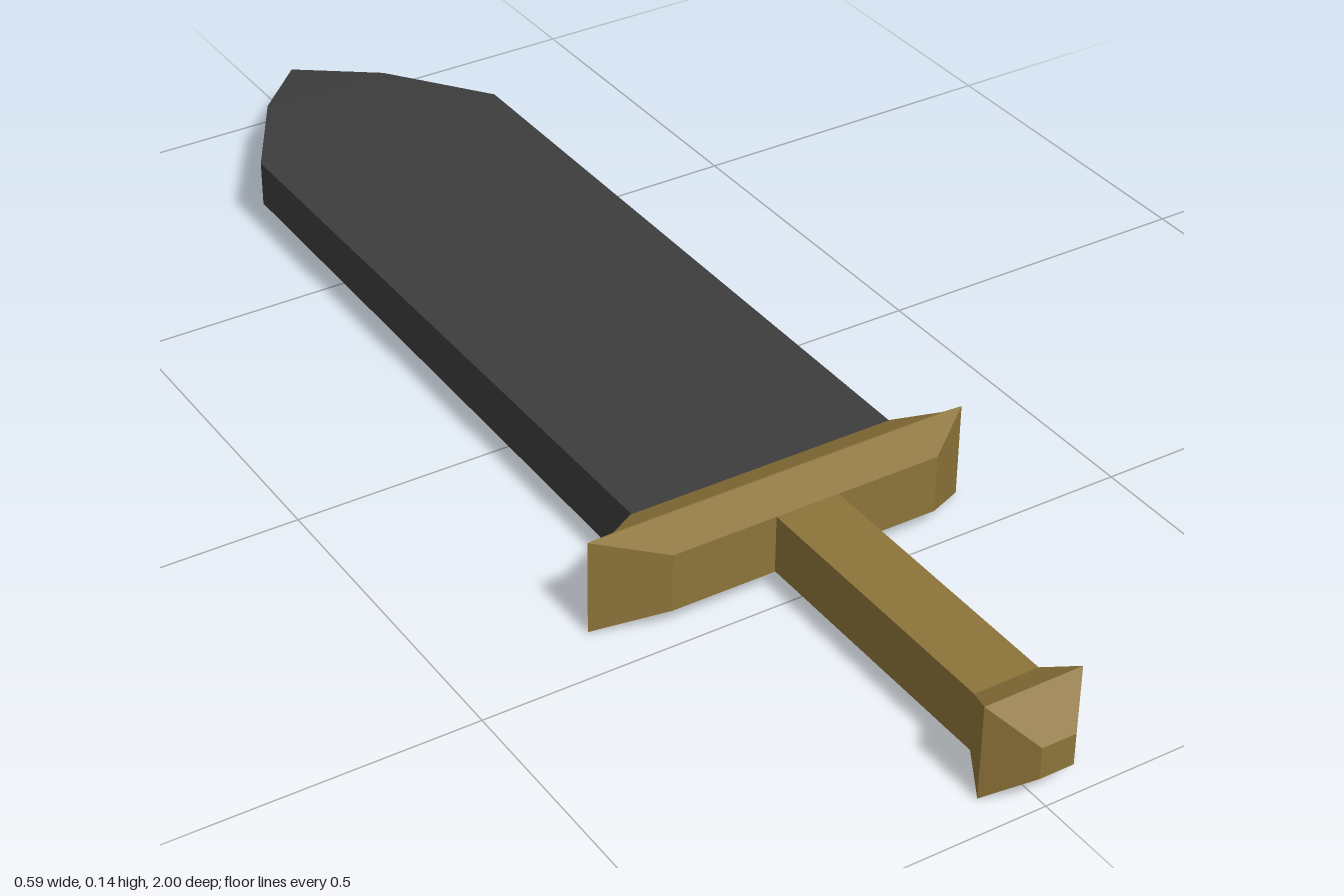
import * as THREE from 'three';

// Joins rectangular sections [z, x0, x1, y0, y1], ordered from front to back.
// Material group 0 holds top, bottom and caps; group 1 holds the left and right sides.
function loft(sections, capFront = true, capBack = true) {
  const rings = sections.map(([z, x0, x1, y0, y1]) => [[x0, y0, z], [x1, y0, z], [x1, y1, z], [x0, y1, z]]);
  const faces = [[], []];
  const quad = (group, a, b, c, d) => faces[group].push(...a, ...b, ...c, ...a, ...c, ...d);
  for (let i = 0; i < rings.length - 1; i++) {
    const a = rings[i], b = rings[i + 1];
    for (let j = 0; j < 4; j++) {
      const k = (j + 1) % 4;
      quad(j % 2, a[j], b[j], b[k], a[k]);
    }
  }
  const first = rings[0], last = rings[rings.length - 1];
  if (capFront) quad(0, ...first);
  if (capBack) quad(0, last[3], last[2], last[1], last[0]);

  const geometry = new THREE.BufferGeometry();
  geometry.setAttribute('position', new THREE.Float32BufferAttribute([...faces[0], ...faces[1]], 3));
  geometry.addGroup(0, faces[0].length / 3, 0);
  geometry.addGroup(faces[0].length / 3, faces[1].length / 3, 1);
  geometry.computeVertexNormals();
  return geometry;
}

export function createModel() {
  const group = new THREE.Group();
  const bronze = new THREE.MeshStandardMaterial({ color: 0x8c7339 });
  bronze.name = 'bronze';
  const steel = new THREE.MeshStandardMaterial({ color: 0x3d3d3d });
  steel.name = 'dark steel';
  const pale = new THREE.MeshStandardMaterial({ color: 0xd8d8d8 });
  pale.name = 'pale grey';

  const add = (name, geometry, sides, flats = sides) => {
    const mesh = new THREE.Mesh(geometry, [flats, sides]);
    mesh.name = name;
    group.add(mesh);
  };

  // Blade: steel body, then a tapering tip with bronze cutting edges
  const shoulder = [-0.7, -0.195, 0.215, 0.046, 0.117];
  add('blade', loft([[0.366, -0.195, 0.215, 0.03, 0.117], shoulder], true, false), steel);
  add('bladeTip', loft([
    shoulder,
    [-0.88, -0.093, 0.113, 0.05, 0.101],
    [-1, 0.01, 0.01, 0.063, 0.081],
  ], false, false), bronze, steel);

  // Crossguard: bevelled on both faces, with a small step at the ridge ends
  add('crossguard', loft([
    [0.468, -0.197, 0.22, 0.028, 0.117],
    [0.418, -0.295, 0.295, 0, 0.143],
    [0.416, -0.255, 0.265, 0, 0.143],
    [0.364, -0.197, 0.217, 0.028, 0.117],
  ]), bronze);

  // Grip and pommel
  add('grip', loft([
    [0.895, -0.038, 0.06, 0.029, 0.117],
    [0.466, -0.038, 0.06, 0.029, 0.117],
  ]), bronze);
  add('pommel', loft([
    [1, -0.014, 0.038, 0.048, 0.096],
    [0.946, -0.063, 0.086, 0, 0.143],
    [0.895, -0.038, 0.06, 0.029, 0.117],
  ]), bronze);

  // Worn sliver on the lower bevel of the guard, beside the ridge
  const outline = [[0.265, 0], [0.245, 0.01], [0.15, 0.018], [0.07, 0.014], [0.02, 0]];
  const sliver = new THREE.ShapeGeometry(new THREE.Shape(outline.map(([x, t]) => new THREE.Vector2(x, t))));
  const p = sliver.attributes.position;
  for (let i = 0; i < p.count; i++) {
    const t = p.getY(i);
    p.setXYZ(i, p.getX(i), t * 0.47 - 0.001, 0.4155 - t * 0.88);
  }
  // The shape faces up after tilting, so turn its triangles over
  const index = sliver.index;
  for (let i = 0; i < index.count; i += 3) {
    const b = index.getX(i + 1), c = index.getX(i + 2);
    const A = new THREE.Vector3().fromBufferAttribute(p, index.getX(i));
    const B = new THREE.Vector3().fromBufferAttribute(p, b).sub(A);
    const C = new THREE.Vector3().fromBufferAttribute(p, c).sub(A);
    if (B.cross(C).y > 0) {
      index.setX(i + 1, c);
      index.setX(i + 2, b);
    }
  }
  sliver.computeVertexNormals();
  const sliverMesh = new THREE.Mesh(sliver, pale);
  sliverMesh.name = 'guardSliver';
  group.add(sliverMesh);

  return group;
}
